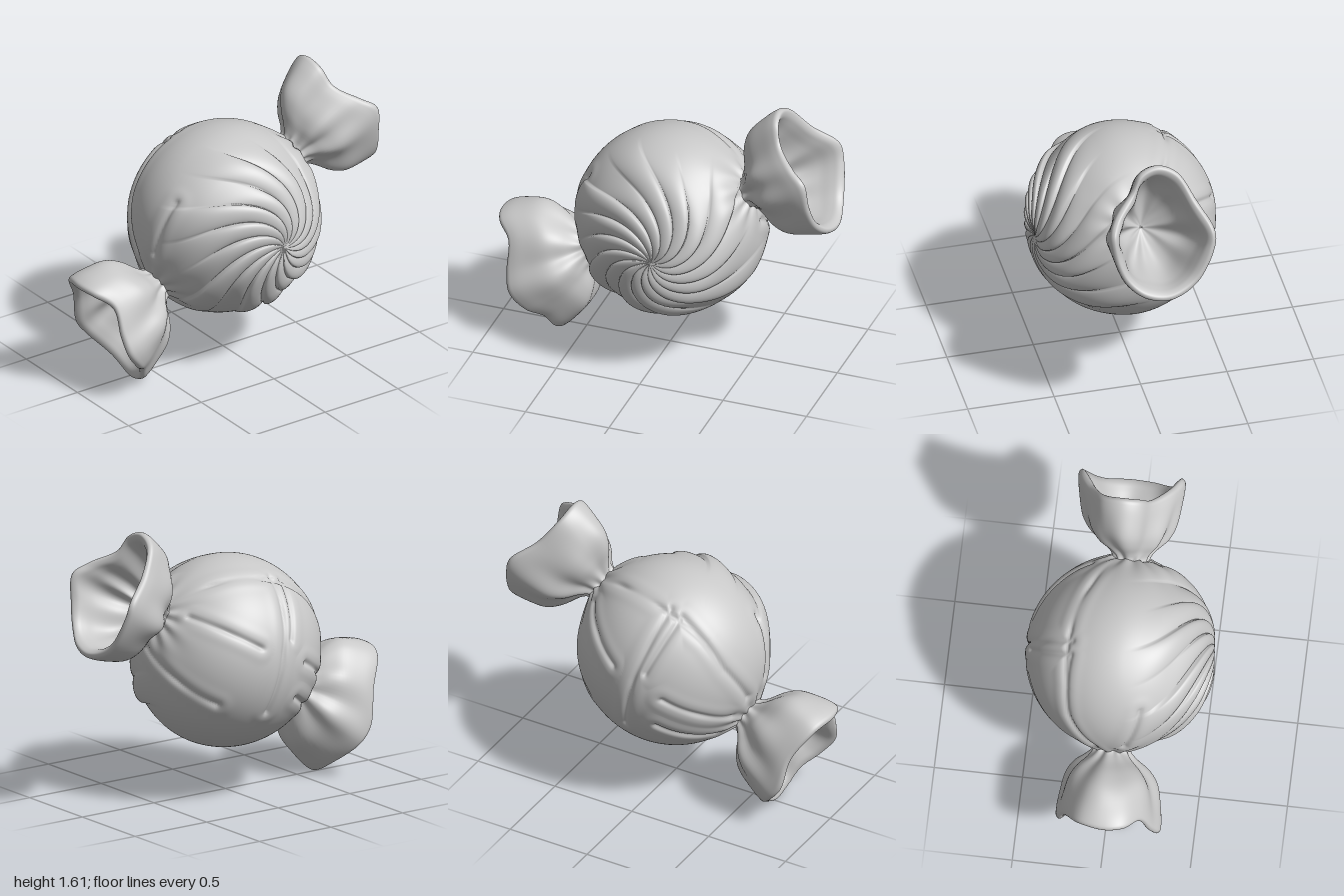
import * as THREE from 'three';
import { mergeVertices } from 'three/addons/utils/BufferGeometryUtils.js';

const V = (x, y, z) => new THREE.Vector3(x, y, z);
const CENTRE = V(0, 0.807, -0.01);
const AXIS = V(0, -0.51, 0.86).normalize(); // towards the front twist
const UP = V(0, 0.86, 0.51).normalize();

// Creases in the wrapper, as paths of directions from the centre of the ball
const CREASES = [
  [[-0.5, 0, 0.2], [-0.18, -0.2, 0.47]],
  [[-0.48, -0.2, 0.15], [-0.2, -0.33, 0.38]],
  [[-0.27, 0.43, 0.2], [-0.25, 0.15, 0.46], [-0.1, -0.1, 0.53]],
  [[-0.27, 0.43, 0.2], [-0.52, 0.15, 0.1]],
  [[0.16, 0.28, 0.44], [0.08, -0.05, 0.54]],
  [[-0.05, 0.3, -0.44], [-0.29, 0.46, 0.08], [-0.27, 0.3, 0.35]],
  [[-0.27, 0.46, 0.13], [-0.54, 0.09, 0.03], [-0.48, -0.25, -0.05]],
  [[-0.22, 0.3, -0.4], [-0.52, 0.14, -0.11]],
  [[0, 0.1, -0.54], [-0.39, -0.18, -0.33]],
].flatMap(path => path.slice(1).map((b, i) =>
  new THREE.Line3(V(...path[i]).normalize(), V(...b).normalize())));

// Ball with a spiral of puffed pleats around +x, creases and gathered necks
function ballGeometry() {
  const pleats = 16;
  let geo = new THREE.SphereGeometry(1, pleats * 20, 144);
  geo.rotateZ(-Math.PI / 2);
  geo.deleteAttribute('uv');
  geo.deleteAttribute('normal');
  const pos = geo.attributes.position;
  const p = V(), near = V(), tilt = V(0, 1, 0);
  for (let i = 0; i < pos.count; i++) {
    p.fromBufferAttribute(pos, i);
    const phi = Math.acos(THREE.MathUtils.clamp(p.x, -1, 1));
    const alpha = Math.atan2(p.y, -p.z);

    // spiral pleats, each fading out at its own distance
    const turn = (alpha / (2 * Math.PI) + 1) * pleats;
    const v = turn - Math.floor(turn);
    const index = Math.floor(turn) % pleats;
    const end = 1.35 + 0.3 * Math.sin(index * 2.4);
    const fade = 1 - THREE.MathUtils.smoothstep(phi, end - 0.7, end);
    const sunk = 1 - THREE.MathUtils.smoothstep(phi, 0.7, 1.6);
    const puff = Math.pow(Math.abs(Math.sin(Math.PI * Math.pow(v, 0.6))), 0.6);
    let r = 0.551 + (0.034 * puff * fade - 0.026 * sunk) * Math.min(1, phi * 1.6);
    r -= 0.022 * Math.exp(-((phi / 0.16) ** 2));

    // wind the pleats outwards around the pole
    const a = alpha + 1.5 * Math.sin(Math.min(phi, Math.PI / 2));
    p.set(Math.cos(phi), Math.sin(phi) * Math.sin(a), -Math.sin(phi) * Math.cos(a));
    p.applyAxisAngle(tilt, 0.11);

    // thin creases with soft shoulders
    let dist = 1;
    for (const line of CREASES) {
      line.closestPointToPoint(p, true, near).normalize();
      dist = Math.min(dist, near.distanceTo(p));
    }
    r -= 0.015 * Math.exp(-((dist / 0.03) ** 2));
    r += 0.004 * Math.exp(-(((dist - 0.1) / 0.06) ** 2));

    // gathers where the wrapper is twisted
    const gap = Math.acos(Math.min(1, Math.abs(p.dot(AXIS))));
    const spin = Math.atan2(p.dot(UP), p.x);
    r += 0.018 * Math.exp(-((gap / 0.2) ** 2));
    r += 0.01 * Math.cos(11 * spin + Math.sin(2 * spin)) *
      Math.exp(-((gap / 0.38) ** 2)) * Math.min(1, gap / 0.15);

    // the ball is slightly narrower from side to side
    pos.setXYZ(i, p.x * r * 0.975, p.y * r, p.z * r);
  }
  geo = mergeVertices(geo, 1e-5);
  geo.computeVertexNormals();
  return geo;
}

// Ruffle section: [distance along, spread towards rim, thickness offset]
const SECTION = new THREE.CatmullRomCurve3([
  [-0.15, 0, 0], [0, 0, 0], [0.1, 0.14, 0], [0.25, 0.5, 0], [0.43, 0.76, 0],
  [0.7, 0.91, 0], [0.9, 0.98, 0], [0.99, 1, -0.007], [1.02, 1, -0.025], [0.98, 0.98, -0.045],
  [0.88, 0.93, -0.053], [0.7, 0.83, -0.053], [0.4, 0.57, -0.05], [0.2, 0.27, -0.06],
  [0.08, 0.06, -0.085], [0.05, 0, -0.1],
].map(q => V(...q)));

// Flared end of the wrapper; rim points are [x, up, distance from the neck]
function ruffleGeometry(rim, axis, clockwise) {
  const curve = new THREE.CatmullRomCurve3(rim.map(q => V(...q)), true);
  const rows = 64, cols = 120, neck = 0.1;
  const points = [], index = [];
  for (let i = 0; i <= rows; i++) {
    const s = SECTION.getPoint(i / rows);
    const loose = THREE.MathUtils.smoothstep(s.z, -0.1, -0.04);
    for (let j = 0; j < cols; j++) {
      const q = curve.getPoint(j / cols);
      const angle = Math.atan2(q.y, q.x);
      const edge = Math.hypot(q.x, q.y);
      const fold = 0.07 * Math.cos(7 * angle + 1) * s.y * (1 - s.y)
        + 0.008 * Math.cos(11 * angle) * (1 - s.y);
      const r = Math.max(0, neck + (edge - neck) * s.y + s.z + loose * fold);
      const p = CENTRE.clone()
        .addScaledVector(axis, 0.55 + s.x * q.z)
        .addScaledVector(UP, r * Math.sin(angle));
      points.push(p.x + r * Math.cos(angle), p.y, p.z);
      if (i < rows) {
        const k = (j + 1) % cols;
        const a = i * cols + j, b = i * cols + k, c = a + cols, d = b + cols;
        if (clockwise) index.push(a, c, b, b, c, d);
        else index.push(a, b, c, b, d, c);
      }
    }
  }
  const geo = new THREE.BufferGeometry();
  geo.setAttribute('position', new THREE.Float32BufferAttribute(points, 3));
  geo.setIndex(index);
  geo.computeVertexNormals();
  return geo;
}

const FRONT_RIM = [
  [0.02, 0.41, 0.39], [0.13, 0.385, 0.375], [0.215, 0.28, 0.34], [0.285, 0.13, 0.41],
  [0.325, 0.01, 0.445], [0.29, -0.13, 0.43], [0.2, -0.24, 0.4], [0.13, -0.345, 0.41],
  [0.02, -0.382, 0.42], [-0.14, -0.305, 0.4], [-0.27, -0.15, 0.42], [-0.28, -0.03, 0.43],
  [-0.235, 0.18, 0.37], [-0.13, 0.37, 0.375],
];
const BACK_RIM = [
  [-0.07, 0.378, 0.39], [0.035, 0.345, 0.385], [0.1, 0.24, 0.37], [0.22, 0.11, 0.43],
  [0.265, 0.01, 0.47], [0.24, -0.15, 0.41], [0.18, -0.28, 0.37], [0.08, -0.37, 0.365],
  [-0.06, -0.397, 0.365], [-0.22, -0.32, 0.37], [-0.33, -0.14, 0.43], [-0.345, -0.03, 0.455],
  [-0.27, 0.15, 0.4], [-0.18, 0.325, 0.385],
];

export function createModel() {
  const group = new THREE.Group();
  group.name = 'wrappedCandy';
  const wrapper = new THREE.MeshStandardMaterial({ color: 0xc8c8c8 });
  wrapper.name = 'light grey wrapper';
  const add = (name, geometry) => {
    const mesh = new THREE.Mesh(geometry, wrapper);
    mesh.name = name;
    group.add(mesh);
    return mesh;
  };
  add('candyBall', ballGeometry()).position.copy(CENTRE);
  add('frontRuffle', ruffleGeometry(FRONT_RIM, AXIS, true));
  add('backRuffle', ruffleGeometry(BACK_RIM, AXIS.clone().negate(), false));
  return group;
}
